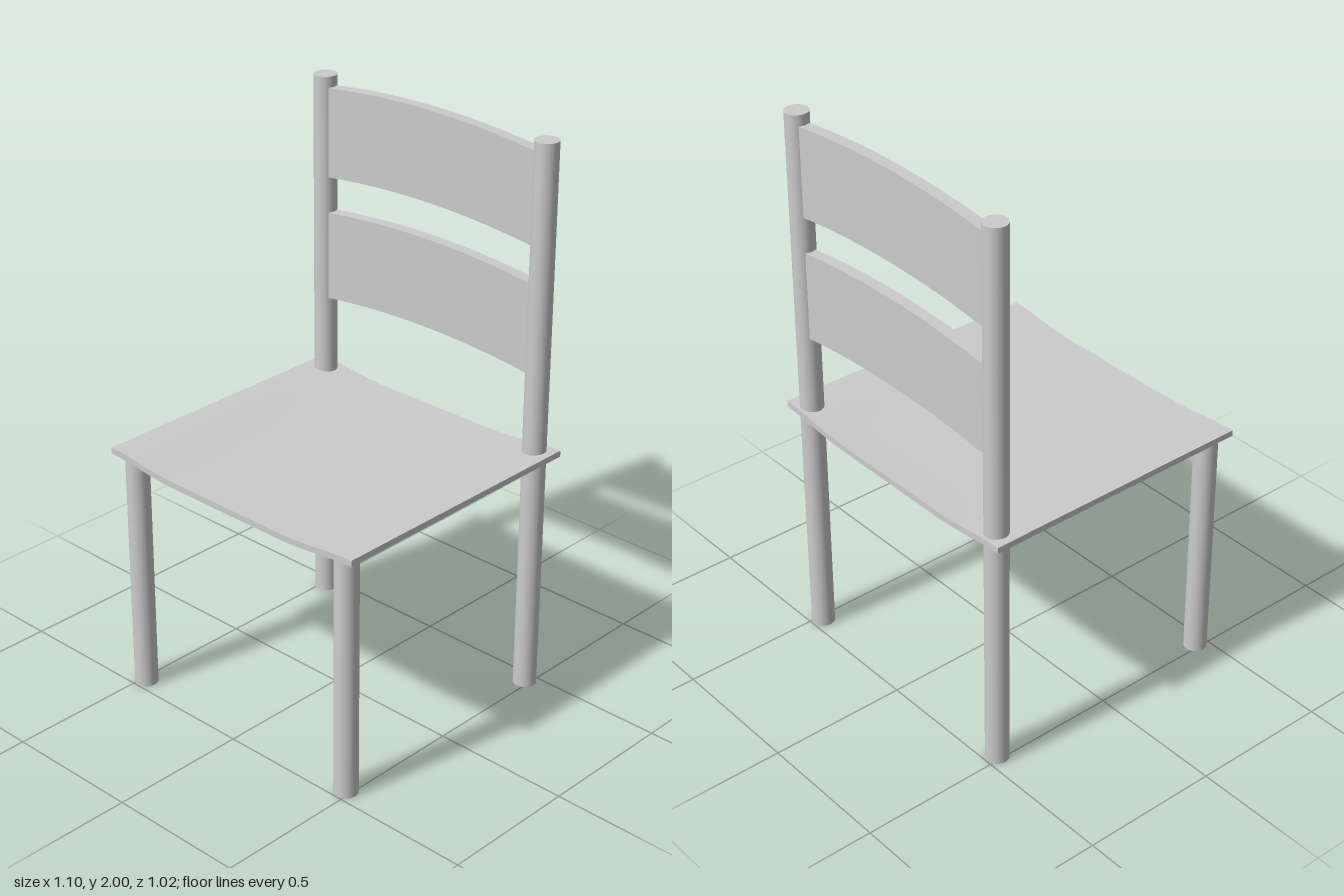
import * as THREE from 'three';
import { toCreasedNormals } from 'three/addons/utils/BufferGeometryUtils.js';

const SEAT = { width: 1.1, depth: 1.016, thickness: 0.022, top: 0.912 };
const POST = { radius: 0.041, x: 0.481, z: 0.455 };

export function createModel() {
  const chair = new THREE.Group();
  chair.name = 'chair';
  const material = new THREE.MeshStandardMaterial({ color: 0xcccccc });

  const add = (name, geometry, x = 0, y = 0, z = 0) => {
    const mesh = new THREE.Mesh(geometry, material);
    mesh.name = name;
    mesh.position.set(x, y, z);
    chair.add(mesh);
  };

  // Round legs: short at the front, rising into the backrest posts behind
  const addLeg = (name, height, x, z) =>
    add(name, new THREE.CylinderGeometry(POST.radius, POST.radius, height, 40), x, height / 2, z);
  for (const [side, sign] of [['left', 1], ['right', -1]]) {
    addLeg(`${side}FrontLeg`, 0.888, sign * POST.x, POST.z);
    addLeg(`${side}BackPost`, 2, sign * POST.x, -POST.z);
  }

  // Thin seat panel, dished between straight side edges and deepest behind the middle
  const seat = new THREE.BoxGeometry(SEAT.width, SEAT.thickness, SEAT.depth, 28, 1, 20);
  const p = seat.attributes.position;
  for (let i = 0; i < p.count; i++) {
    const across = 1 - THREE.MathUtils.smoothstep(Math.abs(p.getX(i)), 0.25, SEAT.width / 2);
    const t = p.getZ(i) / (SEAT.depth / 2);
    const along = (1 - t * t) * (1 - 0.3 * t);
    p.setY(i, p.getY(i) - across * (0.023 + 0.01 * along));
  }
  add('seat', toCreasedNormals(seat, 0.6), 0, SEAT.top - SEAT.thickness / 2, 0);

  // Two flat back slats, arched along their upper and lower edges
  const half = 0.455, rise = 0.03, slatHeight = 0.32, slatDepth = 0.042;
  const outline = new THREE.Shape();
  outline.moveTo(-half, 0);
  outline.quadraticCurveTo(0, 2 * rise, half, 0);
  outline.lineTo(half, slatHeight);
  outline.quadraticCurveTo(0, slatHeight + 2 * rise, -half, slatHeight);
  const slat = new THREE.ExtrudeGeometry(outline, {
    depth: slatDepth, bevelEnabled: false, curveSegments: 16,
  });
  const slatGeometry = toCreasedNormals(slat, 0.6);
  add('lowerBackSlat', slatGeometry, 0, 1.19, -0.475);
  add('upperBackSlat', slatGeometry, 0, 1.64, -0.475);

  return chair;
}
